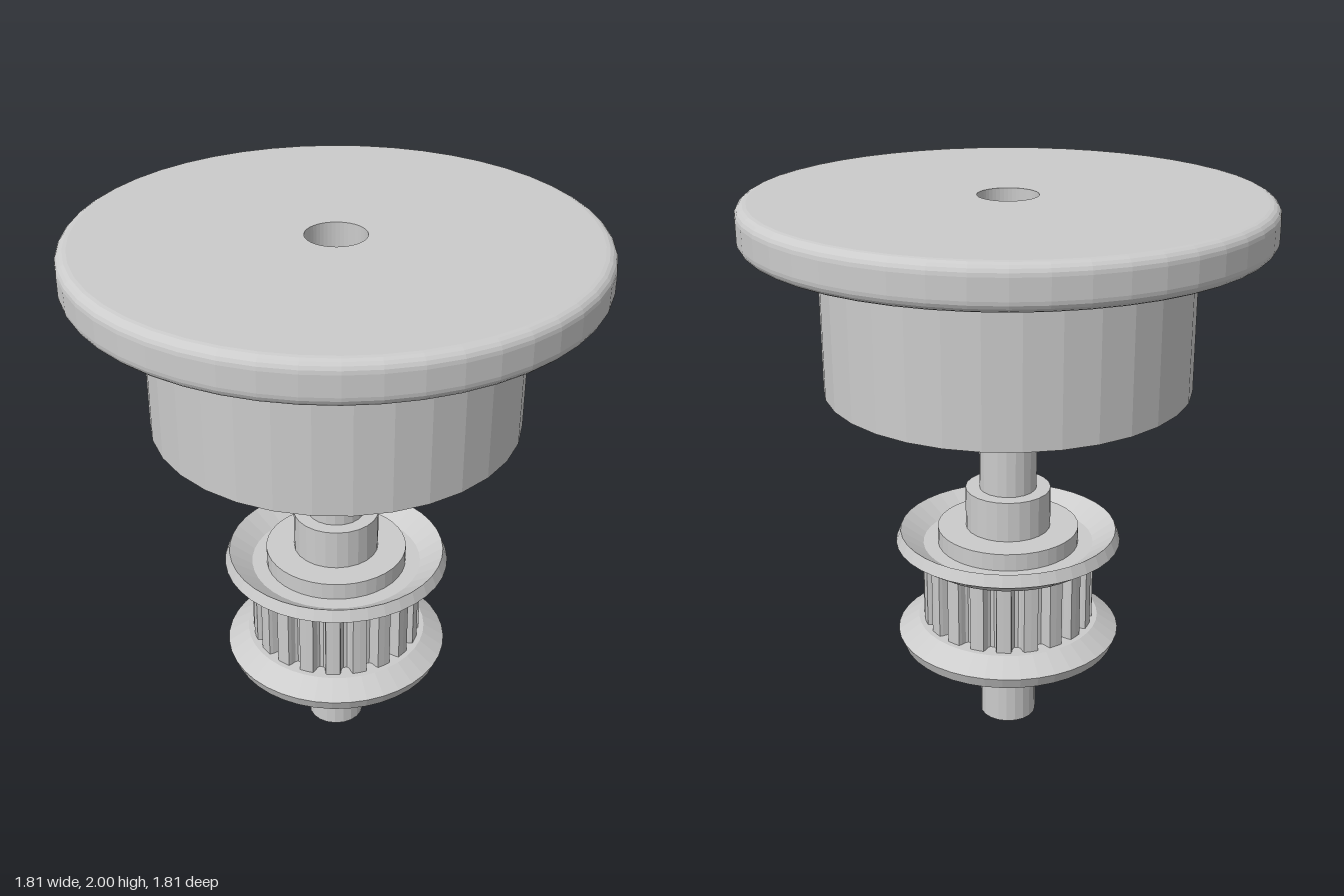
import * as THREE from 'three';

const material = new THREE.MeshStandardMaterial({ color: 0xcccccc, flatShading: true });

function addMesh(parent, name, geometry) {
  const mesh = new THREE.Mesh(geometry, material);
  mesh.name = name;
  parent.add(mesh);
  return mesh;
}

// Revolves a closed [radius, height] outline listed counter-clockwise.
function turn(outline, segments) {
  const points = [...outline, outline[0]].map(([r, y]) => new THREE.Vector2(r, y));
  return new THREE.LatheGeometry(points, segments);
}

function cylinder(radius, bottom, top, segments) {
  return new THREE.CylinderGeometry(radius, radius, top - bottom, segments)
    .translate(0, (top + bottom) / 2, 0);
}

// Quarter-round corner of the knob rim.
function corner(r, y, radius, start) {
  return Array.from({ length: 6 }, (_, i) => {
    const a = start + (i / 5) * Math.PI / 2;
    return [r + radius * Math.cos(a), y + radius * Math.sin(a)];
  });
}

// Toothed belt core with rounded grooves between the teeth.
function toothedCore(teeth, outer, root, bottom, top) {
  const shape = new THREE.Shape();
  const step = (Math.PI * 2) / teeth;
  const profile = [[-0.26, outer], [0, outer], [0.26, outer], [0.3, outer - 0.012],
    [0.34, root + 0.008], [0.42, root], [0.58, root], [0.66, root + 0.008], [0.7, outer - 0.012]];
  for (let i = 0; i < teeth; i++) {
    profile.forEach(([t, r], j) => {
      const a = (i + t) * step;
      const x = r * Math.cos(a), y = r * Math.sin(a);
      if (i === 0 && j === 0) shape.moveTo(x, y);
      else shape.lineTo(x, y);
    });
  }
  shape.closePath();
  return new THREE.ExtrudeGeometry(shape, { depth: top - bottom, bevelEnabled: false })
    .rotateX(-Math.PI / 2).translate(0, bottom, 0);
}

export function createModel() {
  const model = new THREE.Group();
  model.name = 'pulleyKnob';

  // Knob: rounded disc over a recessed drum, both bored through the middle
  const knob = new THREE.Group();
  knob.name = 'knob';
  model.add(knob);
  const bore = 0.105, round = 0.04, rim = 0.907;
  addMesh(knob, 'disc', turn([
    [bore, 1.85],
    ...corner(rim - round, 1.85 + round, round, -Math.PI / 2),
    ...corner(rim - round, 2 - round, round, 0),
    [bore, 2],
  ], 48));
  addMesh(knob, 'drum', turn([
    [bore, 1.5], [0.52, 1.5], [0.52, 1.33], [0.647, 1.33], [0.647, 1.85], [bore, 1.85],
  ], 32));

  // Shaft
  addMesh(model, 'shaft', cylinder(0.104, 0, 1.6, 20));

  // Belt pulley
  const pulley = new THREE.Group();
  pulley.name = 'pulley';
  model.add(pulley);
  addMesh(pulley, 'toothedCore', toothedCore(20, 0.315, 0.275, 0.4, 0.7));
  addMesh(pulley, 'upperCollar', cylinder(0.155, 0.7, 0.935, 24));
  addMesh(pulley, 'lowerCollar', cylinder(0.155, 0.265, 0.4, 24));

  // Dished flanges with a raised hub, mirrored about the pulley's middle
  const middle = 0.55;
  const flange = [
    [0.1, 0.68], [0.335, 0.68], [0.412, 0.732], [0.395, 0.775],
    [0.312, 0.72], [0.258, 0.72], [0.258, 0.784], [0.1, 0.784],
  ];
  addMesh(pulley, 'upperFlange', turn(flange, 40));
  const mirrored = flange.map(([r, y]) => [r, 2 * middle - y]).reverse();
  addMesh(pulley, 'lowerFlange', turn(mirrored, 40));

  return model;
}
